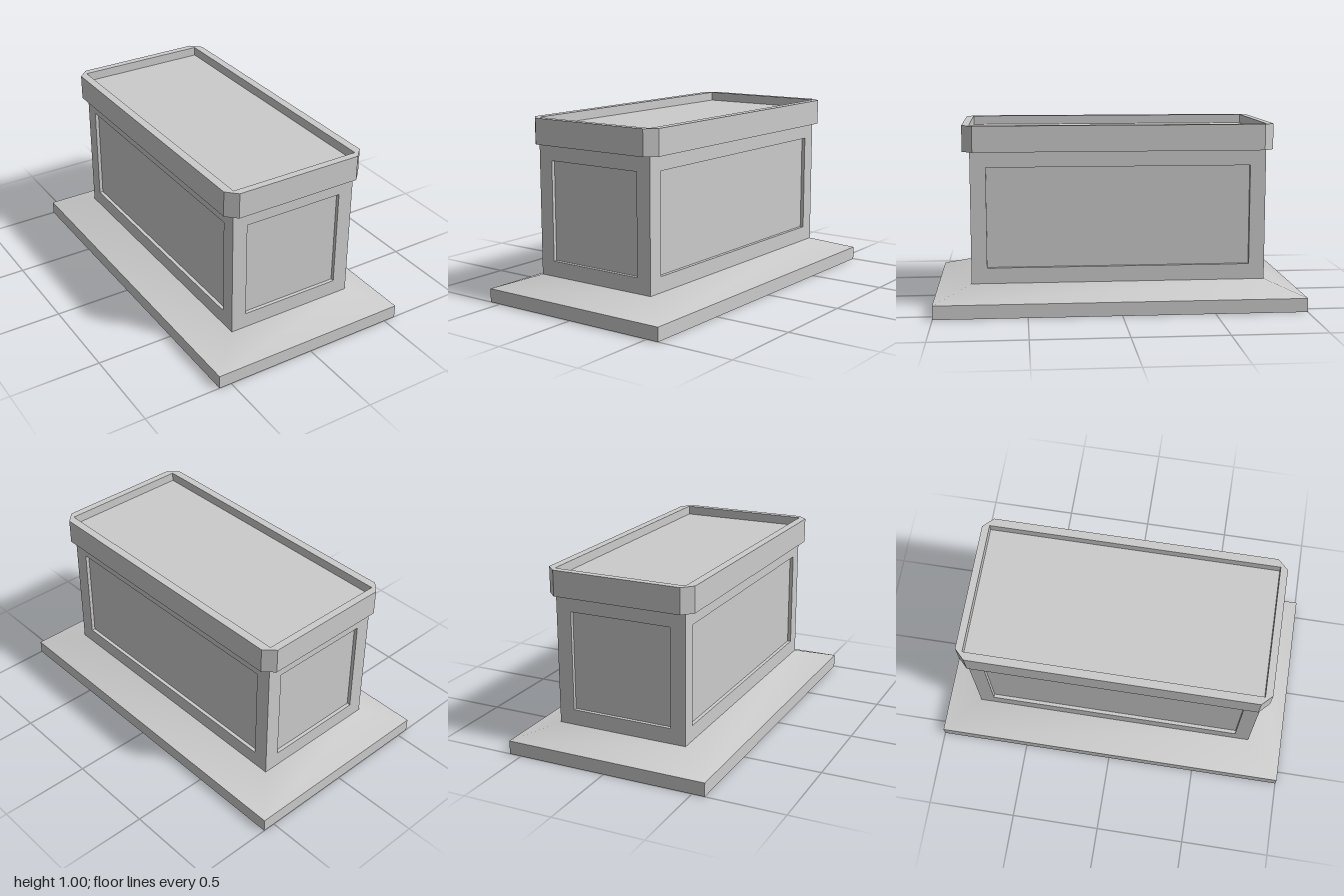
import * as THREE from 'three';
import { toCreasedNormals } from 'three/addons/utils/BufferGeometryUtils.js';

const material = new THREE.MeshStandardMaterial({ color: 0xcccccc });

// Counter-clockwise rectangle in the XY plane at depth z
const rect = (hw, y0, y1, z) => [[-hw, y0, z], [hw, y0, z], [hw, y1, z], [-hw, y1, z]];

// Skin between successive four-corner rings, with optional end caps
function loft(rings, capStart, capEnd) {
  const pos = [];
  const quad = (a, b, c, d) => pos.push(...a, ...b, ...c, ...a, ...c, ...d);
  for (let r = 0; r < rings.length - 1; r++) {
    const p = rings[r], q = rings[r + 1];
    for (let i = 0; i < 4; i++) {
      const j = (i + 1) % 4;
      quad(p[i], p[j], q[j], q[i]);
    }
  }
  if (capStart) quad(...[...rings[0]].reverse());
  if (capEnd) quad(...rings[rings.length - 1]);
  const geometry = new THREE.BufferGeometry();
  geometry.setAttribute('position', new THREE.Float32BufferAttribute(pos, 3));
  return toCreasedNormals(geometry, 0.52);
}

export function createModel() {
  const group = new THREE.Group();
  const add = (name, geometry) => {
    const mesh = new THREE.Mesh(geometry, material);
    mesh.name = name;
    group.add(mesh);
    return mesh;
  };
  const W = 0.37, L = 0.8; // half width and half length of the body

  // Plinth with softly shaded sloping top, open under the body
  add('plinth', loft([
    rect(0.57, -1, 1, 0),
    rect(0.57, -1, 1, 0.075),
    rect(W, -L, L, 0.145),
  ], true, false).rotateX(-Math.PI / 2));

  // Four body walls, each with a recessed panel
  const wall = (halfWidth, panelHalfWidth, distance) => loft([
    rect(halfWidth, 0.145, 0.86, distance),
    rect(panelHalfWidth, 0.23, 0.775, distance),
    rect(panelHalfWidth, 0.23, 0.775, distance - 0.02),
  ], false, true);
  const endWall = wall(W, 0.285, L);
  const sideWall = wall(L, 0.715, W);
  ['frontWall', 'leftWall', 'backWall', 'rightWall'].forEach((name, i) => {
    add(name, i % 2 ? sideWall : endWall).rotation.y = i * Math.PI / 2;
  });

  // Overhanging rim with chamfered corners
  const X = 0.415, Z = 0.84, C = 0.056;
  const outline = [
    [X, Z - C], [X - C, Z], [C - X, Z], [-X, Z - C],
    [-X, C - Z], [C - X, -Z], [X - C, -Z], [X, C - Z],
  ];
  const rim = new THREE.Shape(outline.map(([x, y]) => new THREE.Vector2(x, y)));
  rim.holes.push(new THREE.Path(rect(W, -L, L, 0).map(([x, y]) => new THREE.Vector2(x, y))));
  add('rim', new THREE.ExtrudeGeometry(rim, { depth: 0.14, bevelEnabled: false })
    .rotateX(-Math.PI / 2).translate(0, 0.86, 0));

  // Sunken top inside the rim
  add('sunkenTop', new THREE.PlaneGeometry(2 * W, 2 * L)
    .rotateX(-Math.PI / 2).translate(0, 0.95, 0));

  return group;
}
